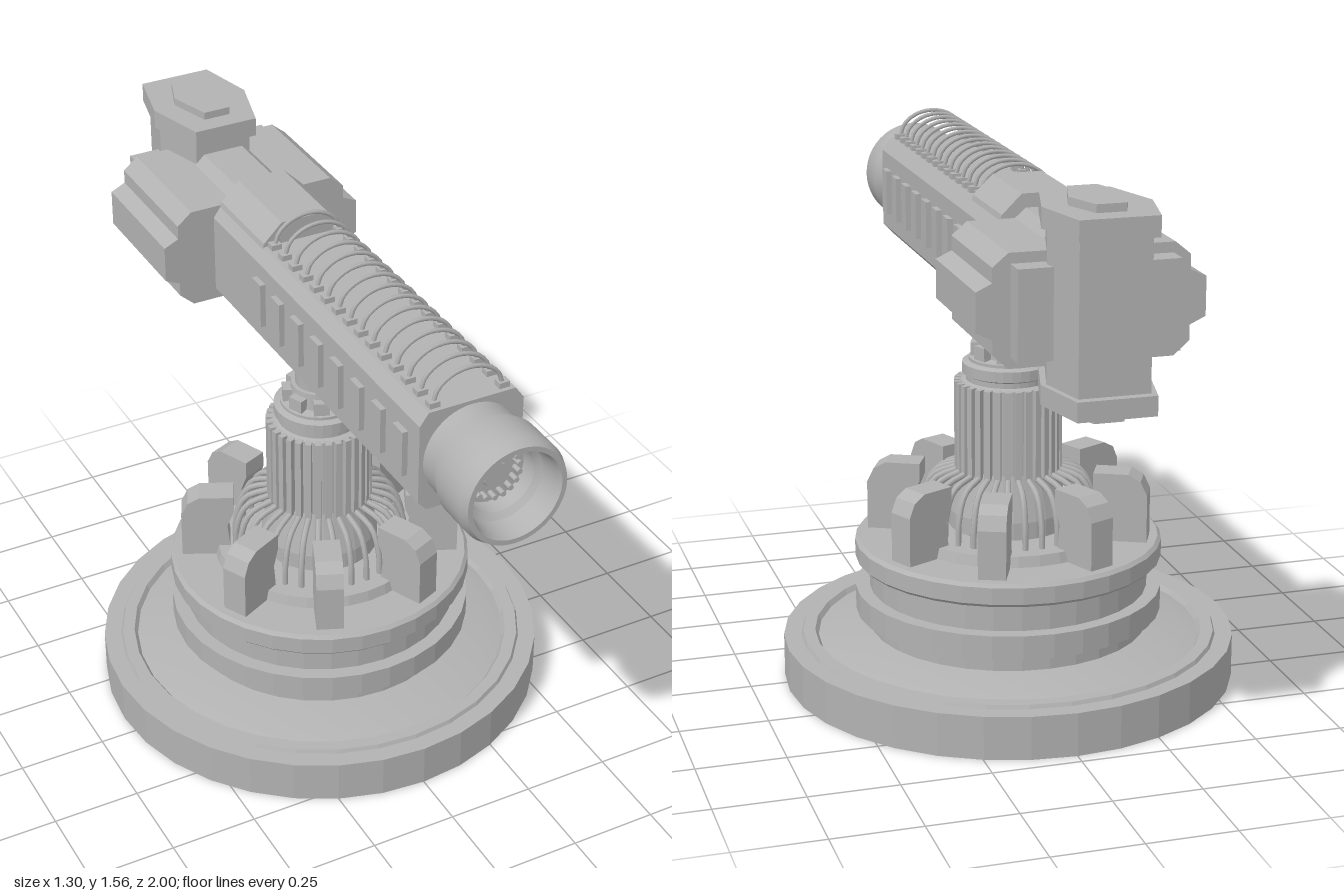
import * as THREE from 'three';
import { toCreasedNormals } from 'three/addons/utils/BufferGeometryUtils.js';

const grey = new THREE.MeshStandardMaterial({ color: 0xb2b2b2 });
grey.name = 'steel grey';

const AXIS_Z = -0.065; // pedestal axis
const BORE_Y = 1.272;  // barrel axis

function add(parent, name, geometry, x = 0, y = 0, z = 0) {
  const mesh = new THREE.Mesh(geometry, grey);
  mesh.name = name;
  mesh.position.set(x, y, z);
  parent.add(mesh);
  return mesh;
}

const box = (w, h, d) => new THREE.BoxGeometry(w, h, d);

// Turned part; a small crease angle keeps the facets flat
function lathe(points, segments = 32, crease = 0.15) {
  const profile = points.map(([r, y]) => new THREE.Vector2(r, y));
  return toCreasedNormals(new THREE.LatheGeometry(profile, segments), crease);
}

const polygon = (points) => new THREE.Shape(points.map(([x, y]) => new THREE.Vector2(x, y)));

// Right half of a cross-section, listed bottom to top, completed by mirroring
const mirrored = (half) => polygon([...half, ...half.map(([x, y]) => [-x, y]).reverse()]);

// Mirrored section in x, y pushed from z0 to z1
function alongZ(half, z0, z1) {
  const g = new THREE.ExtrudeGeometry(mirrored(half), { depth: z1 - z0, bevelEnabled: false });
  return g.translate(0, 0, z0);
}

// Mirrored plan in x, z (front to back) pushed from y0 to y1
function alongY(half, y0, y1) {
  const plan = half.map(([x, z]) => [x, -z]);
  const g = new THREE.ExtrudeGeometry(mirrored(plan), { depth: y1 - y0, bevelEnabled: false });
  return g.rotateX(-Math.PI / 2).translate(0, y0, 0);
}

// Calls build with a group turned to each angle about the y axis
function around(parent, name, angles, build) {
  for (const a of angles) {
    const g = new THREE.Group();
    g.name = name;
    g.rotation.y = -a;
    parent.add(g);
    build(g);
  }
}
const evenly = (n) => Array.from({ length: n }, (_, i) => ((i + 0.5) / n) * Math.PI * 2);

function buildPedestal() {
  const pedestal = new THREE.Group();
  pedestal.name = 'pedestal';
  pedestal.position.z = AXIS_Z;

  // Wide foot with a raised rim and shallow dished top
  add(pedestal, 'foot', lathe([[0, 0], [0.65, 0], [0.65, 0.125], [0.6, 0.125], [0.595, 0.136],
    [0.56, 0.136], [0.55, 0.122], [0.5, 0.136], [0.4, 0.152], [0, 0.152]]));
  // Stepped drum
  add(pedestal, 'drum', lathe([[0, 0.14], [0.4, 0.14], [0.4, 0.2], [0.44, 0.2], [0.44, 0.27],
    [0.4, 0.27], [0.4, 0.352], [0.43, 0.352], [0.44, 0.362], [0.44, 0.41], [0.43, 0.42], [0, 0.42]]));
  add(pedestal, 'drumRing', lathe([[0.15, 0.415], [0.31, 0.415], [0.3, 0.45], [0.15, 0.45]]));
  add(pedestal, 'core', lathe([[0.17, 0.42], [0.17, 0.5], [0.14, 0.63]]));

  // Buttress claws
  const claw = new THREE.ExtrudeGeometry(polygon([[0.26, 0.42], [0.404, 0.42], [0.404, 0.56],
    [0.385, 0.6], [0.35, 0.62], [0.25, 0.62], [0.25, 0.57], [0.27, 0.52]]),
  { depth: 0.078, bevelEnabled: false }).translate(0, 0, -0.039);
  const deg = Math.PI / 180;
  const clawAngles = [26, 67, 113, 154].flatMap((a) => [a * deg, -a * deg]);
  around(pedestal, 'buttress', clawAngles, (g) => add(g, 'claw', claw));

  // Curved cage bars
  const barPath = new THREE.CatmullRomCurve3([[0.25, 0.44], [0.245, 0.52], [0.215, 0.59], [0.14, 0.62]]
    .map(([r, y]) => new THREE.Vector3(r, y, 0)));
  const bar = new THREE.TubeGeometry(barPath, 10, 0.009, 6);
  around(pedestal, 'cage', evenly(32), (g) => add(g, 'cageBar', bar));

  // Splined column
  add(pedestal, 'column', lathe([[0, 0.6], [0.137, 0.6], [0.137, 0.875], [0.12, 0.88], [0.12, 0.895],
    [0.13, 0.9], [0.13, 0.93], [0.112, 0.936], [0.112, 0.945], [0.085, 0.95], [0.08, 1.0],
    [0.068, 1.0], [0.068, 1.05], [0.076, 1.06], [0.076, 1.1], [0, 1.1]]));
  const spline = box(0.03, 0.26, 0.018);
  around(pedestal, 'splines', evenly(32), (g) => add(g, 'spline', spline, 0.138, 0.747, 0));

  // Collar lugs and neck studs
  const lug = box(0.035, 0.05, 0.045);
  around(pedestal, 'collarLugs', evenly(8), (g) => add(g, 'lug', lug, 0.087, 0.96, 0));
  const stud = box(0.01, 0.022, 0.016);
  around(pedestal, 'neckStuds', evenly(16), (g) => add(g, 'stud', stud, 0.074, 1.075, 0));
  return pedestal;
}

function buildGun() {
  const gun = new THREE.Group();
  gun.name = 'gun';

  // Mount plate and long chamfered body
  add(gun, 'mountPlate', alongZ([[0.06, 1.095], [0.1, 1.135]], -0.16, 0.03));
  add(gun, 'body', alongZ([[0.125, 1.127], [0.15, 1.155], [0.15, 1.385], [0.125, 1.42]], -0.78, 0.77));

  // Side vents
  const vent = box(0.02, 0.133, 0.052);
  for (let i = 0; i < 8; i++) {
    for (const s of [-1, 1]) add(gun, 'sideVent', vent, s * 0.156, BORE_Y, 0.686 - i * 0.115);
  }

  // Row of hoops with square feet
  const arch = [];
  for (let i = 0; i <= 6; i++) {
    const a = (i / 6) * Math.PI;
    arch.push(new THREE.Vector3(0.1 * Math.cos(a), 1.425 + 0.079 * Math.sin(a), 0));
  }
  const hoop = new THREE.TubeGeometry(new THREE.CatmullRomCurve3(arch), 16, 0.006, 6);
  const hoopFoot = box(0.03, 0.02, 0.026);
  for (let i = 0; i < 15; i++) {
    const z = 0.745 - i * 0.0627;
    add(gun, 'hoop', hoop, 0, 0, z);
    for (const s of [-1, 1]) add(gun, 'hoopFoot', hoopFoot, s * 0.1, 1.426, z);
  }

  // Top cover and ridge behind it
  add(gun, 'topCover', alongZ([[0.135, 1.39], [0.125, 1.43], [0.07, 1.484]], -0.42, -0.15));
  add(gun, 'topRidge', alongZ([[0.1, 1.41], [0.06, 1.446]], -0.67, -0.42));

  // Stepped rear housing with side plates
  add(gun, 'housing', alongZ([[0.22, 1.122], [0.262, 1.16], [0.262, 1.2], [0.305, 1.22],
    [0.305, 1.325], [0.262, 1.345], [0.262, 1.385], [0.22, 1.42]], -0.795, -0.42));
  for (const s of [-1, 1]) add(gun, 'sidePlate', box(0.1, 0.24, 0.08), s * 0.165, BORE_Y, -0.818);

  // Upright block with six-sided caps
  const hexagon = (a, b, c) => [[c[0], c[1]], [b[0], b[1]], [a[0], a[1]]].reverse();
  const cap = hexagon([0.095, -0.645], [0.145, -0.825], [0.105, -1.0]);
  const body = hexagon([0.085, -0.67], [0.13, -0.825], [0.095, -0.975]);
  const plate = hexagon([0.04, -0.705], [0.078, -0.83], [0.04, -0.935]);
  add(gun, 'rearBlock', alongY(body, 1.07, 1.49));
  add(gun, 'upperCap', alongY(cap, 1.483, 1.538));
  add(gun, 'lowerCap', alongY(cap, 1.03, 1.083));
  add(gun, 'upperPlate', alongY(plate, 1.535, 1.56));
  add(gun, 'lowerPlate', alongY(plate, 1.003, 1.035));

  // Muzzle with hollow bore
  const muzzle = lathe([[0.138, 0.76], [0.138, 0.825], [0.152, 0.865], [0.152, 0.975], [0.142, 1.0],
    [0.128, 1.0], [0.122, 0.985], [0.115, 0.93], [0.1, 0.915], [0.095, 0.87], [0.04, 0.87],
    [0.035, 0.9], [0, 0.9]], 48, 0.5);
  add(gun, 'muzzle', muzzle.rotateX(Math.PI / 2), 0, BORE_Y, 0);
  const pin = new THREE.CylinderGeometry(0.008, 0.008, 0.03, 8).rotateX(Math.PI / 2);
  for (const a of evenly(18)) {
    add(gun, 'borePin', pin, 0.07 * Math.cos(a), BORE_Y + 0.07 * Math.sin(a), 0.882);
  }
  return gun;
}

export function createModel() {
  const model = new THREE.Group();
  model.name = 'turret';
  model.add(buildPedestal(), buildGun());
  return model;
}
